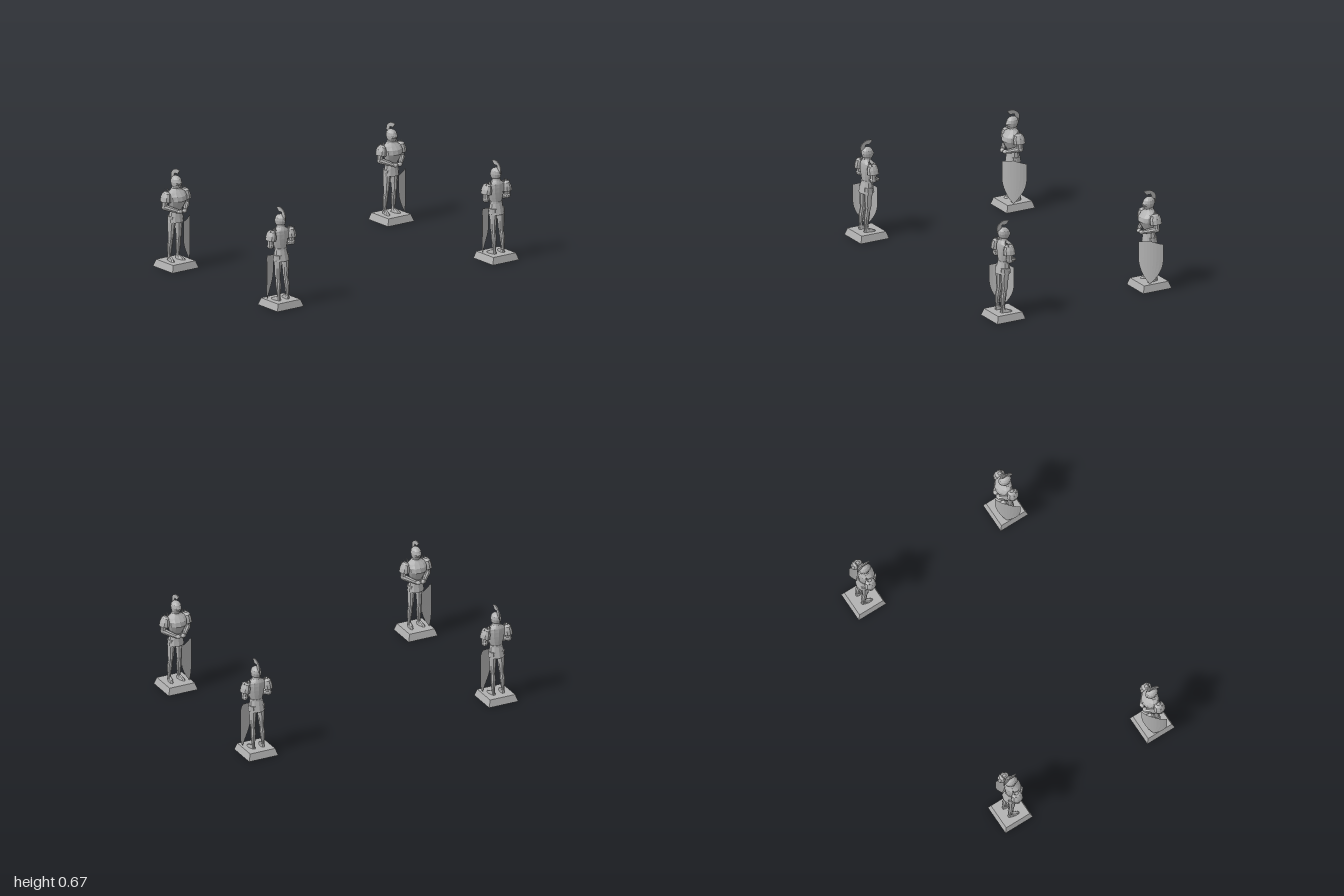
import * as THREE from 'three';

const stone = new THREE.MeshStandardMaterial({ color: 0xb0b0b0, flatShading: true, side: THREE.DoubleSide });
stone.name = 'grey stone';

function add(parent, name, geometry, x = 0, y = 0, z = 0) {
  const mesh = new THREE.Mesh(geometry, stone);
  mesh.name = name;
  mesh.position.set(x, y, z);
  parent.add(mesh);
  return mesh;
}

// Closed skin over stacked horizontal ellipses: [x, y, z, radiusX, radiusZ], bottom to top
function loft(sections, sides = 12) {
  const pos = [], idx = [];
  for (const [x, y, z, rx, rz] of sections) {
    for (let i = 0; i < sides; i++) {
      const a = (i / sides) * Math.PI * 2;
      pos.push(x + Math.sin(a) * rx, y, z + Math.cos(a) * rz);
    }
  }
  for (let s = 0; s < sections.length - 1; s++) {
    for (let i = 0; i < sides; i++) {
      const a = s * sides + i, b = s * sides + (i + 1) % sides;
      idx.push(a, b, b + sides, a, b + sides, a + sides);
    }
  }
  const top = (sections.length - 1) * sides;
  for (let i = 1; i < sides - 1; i++) {
    idx.push(0, i + 1, i, top, top + i, top + i + 1);
  }
  const g = new THREE.BufferGeometry();
  g.setAttribute('position', new THREE.Float32BufferAttribute(pos, 3));
  g.setIndex(idx);
  g.computeVertexNormals();
  return g;
}

// Tapered rod between two points
function rod(parent, name, from, to, r0, r1, sides = 8) {
  const a = new THREE.Vector3(...from), b = new THREE.Vector3(...to);
  const dir = b.clone().sub(a);
  const mesh = add(parent, name, new THREE.CylinderGeometry(r1, r0, dir.length(), sides));
  mesh.position.copy(a).add(b).multiplyScalar(0.5);
  mesh.quaternion.setFromUnitVectors(new THREE.Vector3(0, 1, 0), dir.normalize());
}

function ball(parent, name, p, r) {
  const mesh = add(parent, name, new THREE.SphereGeometry(1, 10, 7), ...p);
  mesh.scale.set(...r);
  return mesh;
}

// Heater shield: a plane shaped to a peaked top, pointed foot and convex face
function shieldGeometry() {
  const g = new THREE.PlaneGeometry(2, 1, 8, 14);
  const p = g.attributes.position;
  for (let i = 0; i < p.count; i++) {
    const u = p.getX(i), v = 0.5 - p.getY(i);
    const half = 0.086 * (v < 0.4 ? 1 : 1 - ((v - 0.4) / 0.6) ** 2);
    const top = 0.345 - 0.02 * Math.abs(u);
    p.setXYZ(i, u * half, top + (0.047 - top) * v, 0.02 * (1 - (u * half / 0.086) ** 2));
  }
  g.computeVertexNormals();
  return g;
}

// Swept-back crest, drawn in side profile
function plumeGeometry() {
  const shape = new THREE.Shape();
  shape.moveTo(0.043, 0.661);
  shape.quadraticCurveTo(0.006, 0.676, -0.024, 0.655);
  shape.quadraticCurveTo(-0.048, 0.64, -0.05, 0.615);
  shape.lineTo(-0.046, 0.575);
  shape.lineTo(-0.04, 0.602);
  shape.lineTo(-0.028, 0.605);
  shape.lineTo(-0.018, 0.615);
  shape.lineTo(-0.01, 0.637);
  shape.lineTo(0.022, 0.636);
  shape.lineTo(0.03, 0.647);
  const g = new THREE.ExtrudeGeometry(shape, { depth: 0.007, bevelEnabled: false, curveSegments: 5 });
  return g.translate(0, 0, -0.0035).rotateY(-Math.PI / 2);
}

function createKnight() {
  const knight = new THREE.Group();
  knight.name = 'knightStatue';

  // Hollow pedestal, open underneath
  const k = Math.SQRT1_2;
  const wall = new THREE.CylinderGeometry(0.183 * k, 0.213 * k, 0.047, 4, 1, true).rotateY(Math.PI / 4);
  add(knight, 'pedestalSides', wall, 0, 0.0235, 0);
  add(knight, 'pedestalTop', new THREE.PlaneGeometry(0.183, 0.183).rotateX(-Math.PI / 2), 0, 0.047, 0);

  // Skirt and breastplate
  add(knight, 'skirt', loft([
    [0, 0.31, -0.003, 0.057, 0.05], [0, 0.35, -0.001, 0.05, 0.042], [0, 0.395, 0.002, 0.041, 0.034],
  ], 10));
  add(knight, 'belt', loft([[0, 0.383, 0.002, 0.045, 0.037], [0, 0.395, 0.002, 0.044, 0.036]]));
  add(knight, 'breastplate', loft([
    [0, 0.393, 0.002, 0.041, 0.033], [0, 0.425, 0.01, 0.053, 0.045], [0, 0.46, 0.018, 0.064, 0.056],
    [0, 0.49, 0.015, 0.068, 0.053], [0, 0.512, 0.006, 0.062, 0.042], [0, 0.53, 0, 0.036, 0.03],
  ]));
  add(knight, 'neckGuard', loft([
    [0, 0.52, -0.001, 0.044, 0.036], [0, 0.538, 0, 0.028, 0.028], [0, 0.555, 0.003, 0.025, 0.03],
  ]));

  // Helmet, visor and crest
  add(knight, 'helmet', loft([
    [0, 0.542, 0.008, 0.022, 0.026], [0, 0.558, 0.006, 0.031, 0.038], [0, 0.58, 0.004, 0.034, 0.043],
    [0, 0.6, 0.002, 0.031, 0.038], [0, 0.614, 0.001, 0.02, 0.025], [0, 0.62, 0, 0.006, 0.008],
  ], 14));
  ball(knight, 'visor', [0, 0.572, 0.02], [0.029, 0.02, 0.032]);
  add(knight, 'plume', plumeGeometry());

  for (const s of [-1, 1]) {
    const side = s > 0 ? 'left' : 'right';

    // Legs
    add(knight, side + 'Leg', loft([
      [s * 0.035, 0.047, -0.025, 0.012, 0.015], [s * 0.035, 0.08, -0.025, 0.011, 0.013],
      [s * 0.034, 0.15, -0.02, 0.018, 0.02], [s * 0.032, 0.19, -0.013, 0.015, 0.018],
      [s * 0.032, 0.21, -0.009, 0.018, 0.022], [s * 0.031, 0.25, -0.01, 0.021, 0.025],
      [s * 0.028, 0.35, -0.004, 0.027, 0.035],
    ], 9));
    const foot = add(knight, side + 'Foot', loft([
      [0, 0.046, 0, 0.016, 0.043], [0, 0.058, -0.004, 0.014, 0.036], [0, 0.072, -0.022, 0.01, 0.015],
    ], 9), s * 0.038, 0, 0);
    foot.rotation.y = s * 0.2;

    // Arms, folded towards the front
    rod(knight, side + 'UpperArm', [s * 0.082, 0.495, -0.002], [s * 0.088, 0.425, -0.004], 0.025, 0.02);
    ball(knight, side + 'Elbow', [s * 0.087, 0.42, -0.004], [0.022, 0.021, 0.024]);
    rod(knight, side + 'Forearm', [s * 0.085, 0.418, 0.002], [s * 0.028, 0.395, 0.063], 0.021, 0.014);
    ball(knight, side + 'Hand', [s * 0.018, 0.392, 0.068], [0.02, 0.014, 0.016]);

    // Layered shoulder armour with short points
    const lame = add(knight, side + 'ShoulderPlate', loft([
      [0, -0.045, 0, 0.033, 0.041], [0, -0.015, 0, 0.031, 0.041],
      [0, 0.012, 0, 0.023, 0.033], [0, 0.024, 0, 0.01, 0.015],
    ], 10), s * 0.077, 0.5, -0.002);
    lame.rotation.z = s * 0.15;
    [[0.052, 0.518, 0.545], [0.072, 0.515, 0.54], [0.09, 0.505, 0.528]].forEach(([x, y, tip], i) =>
      rod(knight, side + 'ShoulderPoint', [s * x, y, -0.012], [s * (x + 0.006), tip, -0.016 - i * 0.002], 0.007, 0.001, 5));
  }

  // Shield resting diagonally at the left side
  const shield = add(knight, 'shield', shieldGeometry(), 0.065, 0, 0.026);
  shield.rotation.y = Math.atan2(0.11, 0.13);
  return knight;
}

export function createModel() {
  const model = new THREE.Group();
  model.name = 'knightStatues';
  // Two facing rows, each the half-turn of the other
  for (const turn of [0, Math.PI]) {
    const row = new THREE.Group();
    row.name = turn ? 'frontRow' : 'backRow';
    for (const x of [-0.886, 0.869]) {
      const knight = createKnight();
      knight.position.set(x, 0, -0.555);
      row.add(knight);
    }
    row.rotation.y = turn;
    model.add(row);
  }
  return model;
}
